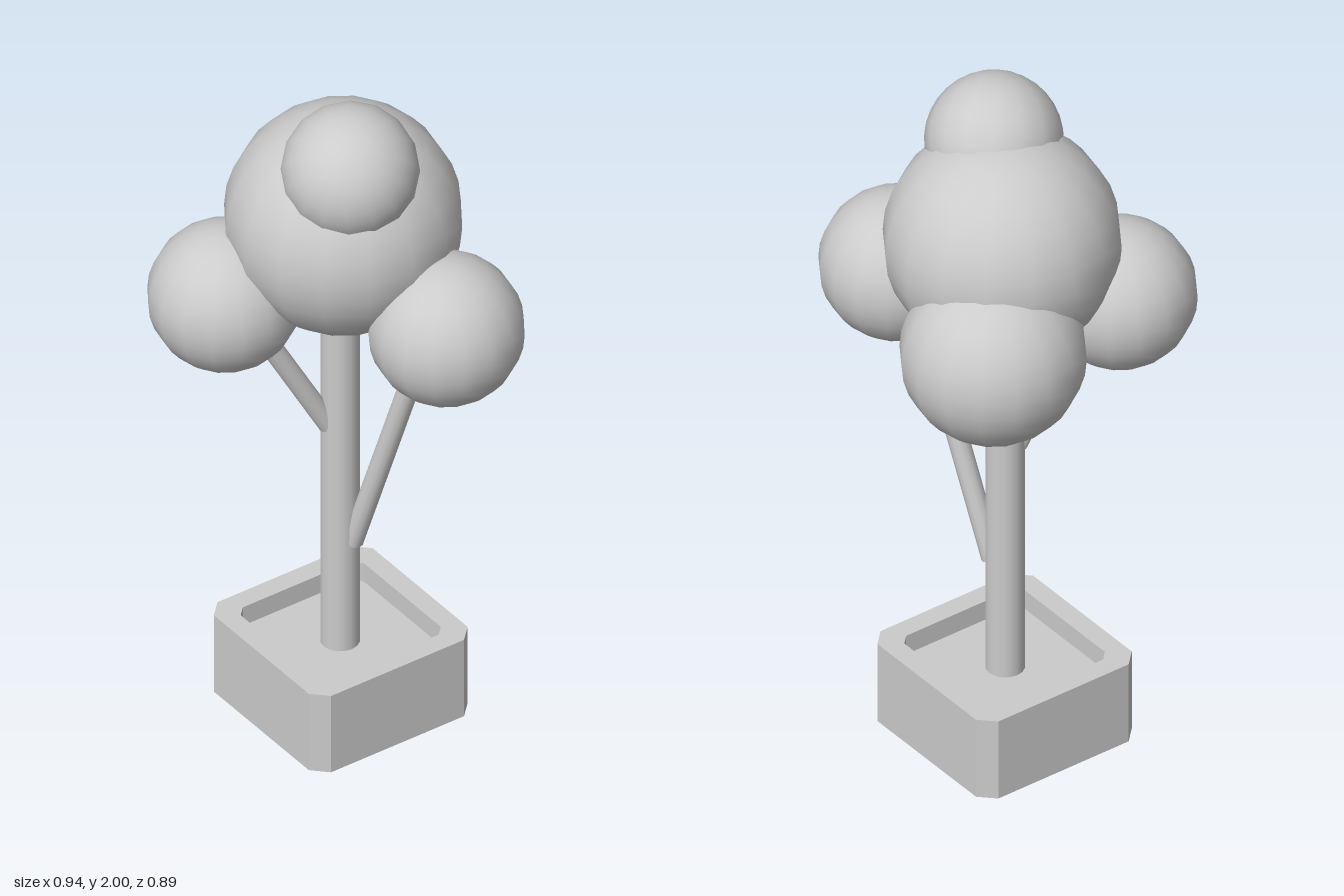
import * as THREE from 'three';

const material = new THREE.MeshStandardMaterial({ color: 0xcccccc });
const flat = new THREE.MeshStandardMaterial({ color: 0xcccccc, flatShading: true });

// Corner points of a square with cut corners
function cutSquare(half, cut) {
  const k = half - cut;
  return [[half, -k], [half, k], [k, half], [-k, half], [-half, k], [-half, -k], [-k, -half], [k, -half]]
    .map(([x, y]) => new THREE.Vector2(x, y));
}

// Upright slab extruded from y0 to y1
function slab(shape, y0, y1, name) {
  const geo = new THREE.ExtrudeGeometry(shape, { depth: y1 - y0, bevelEnabled: false });
  geo.rotateX(-Math.PI / 2);
  const mesh = new THREE.Mesh(geo, flat);
  mesh.position.y = y0;
  mesh.name = name;
  return mesh;
}

// Straight round limb between two points
function limb(from, to, radius, sides, name) {
  const a = new THREE.Vector3(...from), b = new THREE.Vector3(...to);
  const dir = b.clone().sub(a);
  const mesh = new THREE.Mesh(new THREE.CylinderGeometry(radius, radius, dir.length(), sides), material);
  mesh.position.copy(a).add(b).multiplyScalar(0.5);
  mesh.quaternion.setFromUnitVectors(new THREE.Vector3(0, 1, 0), dir.normalize());
  mesh.name = name;
  return mesh;
}

function foliage(name, center, radius, tilt = 0) {
  const mesh = new THREE.Mesh(new THREE.SphereGeometry(radius, 16, 16), material);
  mesh.position.set(...center);
  mesh.rotation.set(tilt, 0, -tilt);
  mesh.name = name;
  return mesh;
}

export function createModel() {
  const model = new THREE.Group();
  model.name = 'pottedTree';

  // Square planter: solid base up to the soil, open rim above
  const planter = new THREE.Group();
  planter.name = 'planter';
  planter.position.set(-0.07, 0, -0.045);
  const wall = new THREE.Shape(cutSquare(0.258, 0.042));
  wall.holes.push(new THREE.Path(cutSquare(0.2, 0.025).reverse()));
  planter.add(
    slab(wall, 0, 0.25, 'planterWall'),
    slab(new THREE.Shape(cutSquare(0.2, 0.025)), 0, 0.19, 'soil'),
  );
  model.add(planter);

  // Trunk and side branches
  model.add(
    limb([-0.07, 0.18, -0.043], [-0.07, 1.5, -0.043], 0.053, 16, 'trunk'),
    limb([-0.035, 0.53, -0.06], [0.2, 1.32, -0.14], 0.029, 12, 'leftBranch'),
    limb([-0.08, 0.905, -0.012], [-0.125, 1.3, 0.2], 0.029, 12, 'frontBranch'),
  );

  // Round foliage clumps
  model.add(
    foliage('mainFoliage', [-0.066, 1.578, -0.05], 0.319),
    foliage('topFoliage', [0.043, 1.815, 0.005], 0.185, 0.5),
    foliage('leftFoliage', [0.26, 1.36, -0.152], 0.21),
    foliage('frontFoliage', [-0.203, 1.36, 0.236], 0.208),
    foliage('backFoliage', [-0.222, 1.36, -0.198], 0.25),
  );
  return model;
}
